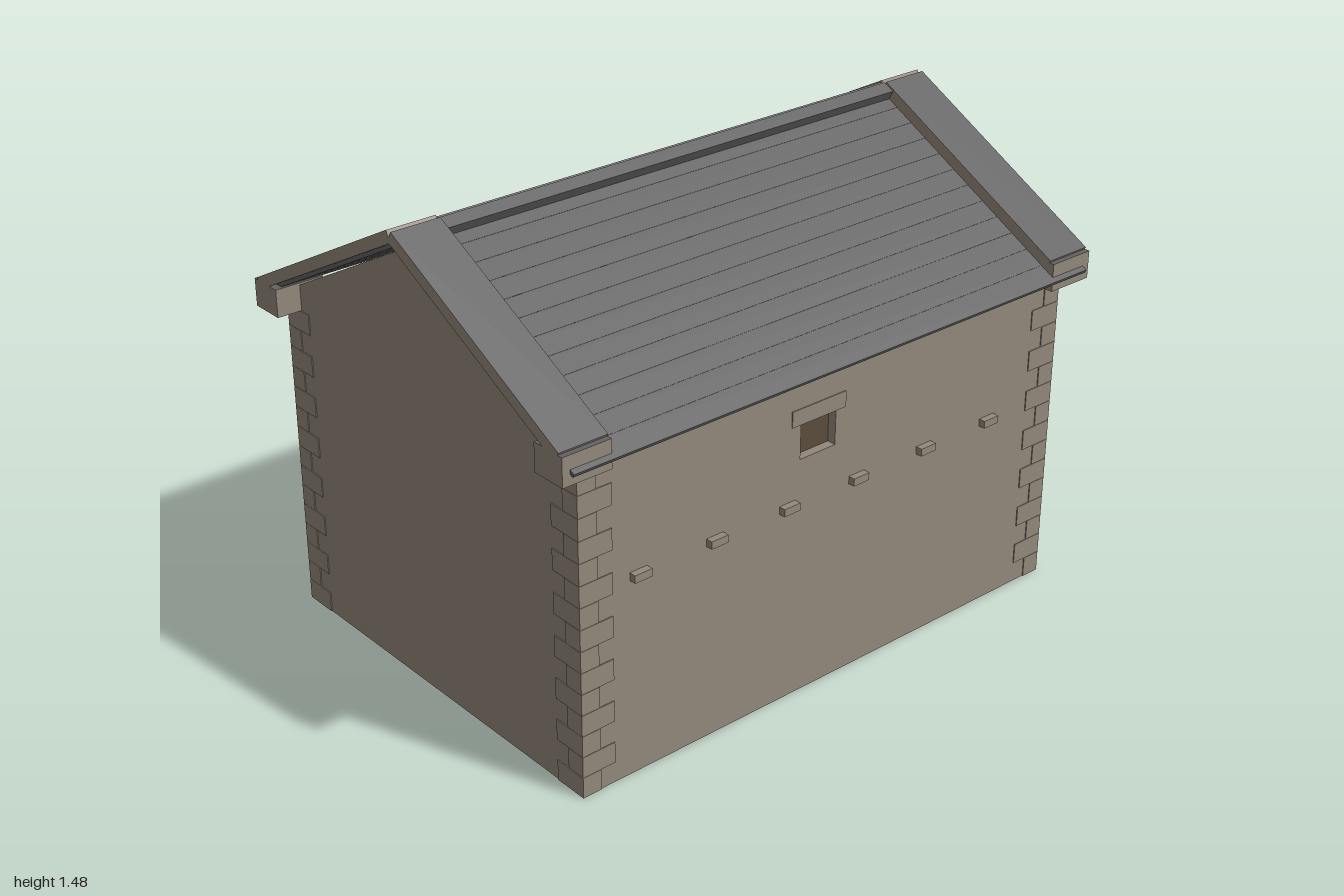
import * as THREE from 'three';

const mat = (name, color, extra = {}) => {
  const m = new THREE.MeshStandardMaterial({ color, ...extra });
  m.name = name;
  return m;
};

export function createModel() {
  const stone = mat('stone', 0x93897b, { side: THREE.DoubleSide });
  const slate = mat('slate', 0x646364);
  const wood = mat('wood', 0x5b4d3e);
  const slateTopped = [stone, stone, slate, stone, stone, stone];

  const barn = new THREE.Group();
  barn.name = 'stoneBarn';

  // Box given by its minimum and maximum on each axis
  const box = (parent, name, material, [x0, x1], [y0, y1], [z0, z1]) => {
    const m = new THREE.Mesh(new THREE.BoxGeometry(Math.abs(x1 - x0), y1 - y0, z1 - z0), material);
    m.position.set((x0 + x1) / 2, (y0 + y1) / 2, (z0 + z1) / 2);
    m.name = name;
    parent.add(m);
    return m;
  };

  const W = 0.68, D = 0.92, EAVE = 1.055, APEX = 1.415, RIDGE = 1.44;
  const angle = Math.atan(0.53);

  // Thin wall in its own frame: x along the wall, z = 0 outer face, +z outward
  const wall = (name, outline, openings, rotation, distance) => {
    const g = new THREE.Group();
    g.name = name;
    g.rotation.y = rotation;
    g.position.set(Math.sin(rotation) * distance, 0, Math.cos(rotation) * distance);
    const shape = new THREE.Shape(outline.map(p => new THREE.Vector2(...p)));
    for (const { x: [a, b], y: [c, d] } of openings) {
      shape.holes.push(new THREE.Path([[a, c], [a, d], [b, d], [b, c]].map(p => new THREE.Vector2(...p))));
    }
    const face = new THREE.Mesh(new THREE.ShapeGeometry(shape), stone);
    face.name = name + 'Face';
    g.add(face);
    openings.forEach(o => addOpening(g, o));
    barn.add(g);
    return g;
  };

  // Recessed opening: sill, jambs, lintel and planked infill
  const addOpening = (g, { x: [a, b], y: [c, d], depth, planks, lintel, rows }) => {
    const back = -depth - 0.02, t = 0.03;
    box(g, 'sill', stone, [a - t, b + t], [c - t, c], [back, -0.001]);
    const h = (d - c) / rows;
    for (let i = 0; i < rows; i++) {
      const w = rows === 1 ? t : i % 2 ? 0.07 : 0.035;
      const front = rows === 1 ? -0.001 : 0.003;
      const y = [c + i * h, c + (i + 1) * h - (rows === 1 ? 0 : 0.001)];
      box(g, 'jambStone', stone, [a - w, a], y, [back, front]);
      box(g, 'jambStone', stone, [b, b + w], y, [back, front]);
    }
    box(g, 'lintel', stone, [a - lintel[0], b + lintel[0]], [d, d + lintel[1]], [back, lintel[2]]);
    const pw = (b - a) / planks;
    for (let i = 0; i < planks; i++) {
      const step = i % 2 ? 0.004 : 0;
      box(g, 'plank', wood, [a + i * pw, a + (i + 1) * pw], [c, d], [back, -depth - step]);
    }
  };

  const gable = [[-W, 0], [W, 0], [W, EAVE], [0, APEX], [-W, EAVE]];
  const side = [[-D, 0], [D, 0], [D, EAVE], [-D, EAVE]];

  wall('frontGable', gable, [], 0, D);
  wall('backGable', gable,
    [{ x: [-0.07, 0.07], y: [1.0, 1.18], depth: 0.04, planks: 1, lintel: [0.06, 0.045, 0.003], rows: 3 }], Math.PI, D);
  const left = wall('leftWall', side,
    [{ x: [-0.135, 0], y: [0.77, 0.88], depth: 0.03, planks: 1, lintel: [0.035, 0.05, 0.003], rows: 1 }], Math.PI / 2, W);
  const doorMid = 0.066;
  const right = wall('rightWall', side, [
    { x: [doorMid - 0.29, doorMid + 0.29], y: [0.13, 0.77], depth: 0.07, planks: 6, lintel: [0.03, 0.03, -0.001], rows: 1 },
    { x: [-0.72, -0.52], y: [0.12, 0.55], depth: 0.04, planks: 2, lintel: [0.06, 0.04, 0.003], rows: 6 },
  ], -Math.PI / 2, W);

  // Row of small projecting stones on each long wall
  const bracket = (g, x) => box(g, 'projectingStone', stone, [x - 0.03, x + 0.03], [0.623, 0.647], [-0.04, 0.022]);
  [0.72, 0.45, 0.18, -0.09, -0.365, -0.635].forEach(z => bracket(left, -z));
  [-0.68, -0.41, 0.67].forEach(z => bracket(right, z));

  // Segmental arch above the large door
  for (let i = -5; i <= 5; i++) {
    const a = i * 0.137;
    const v = box(right, 'archStone', stone, [-0.033, 0.033], [-0.05, 0.05], [-0.09, 0.004]);
    v.position.x = doorMid + Math.sin(a) * 0.514;
    v.position.y = 0.406 + Math.cos(a) * 0.514;
    v.rotation.z = -a;
  }

  // Alternating corner stones
  const courses = 15, ch = 1.01 / courses;
  for (const sx of [-1, 1]) for (const sz of [-1, 1]) {
    for (let i = 0; i < courses; i++) {
      const [lx, lz] = i % 2 ? [0.06, 0.11] : [0.11, 0.06];
      const xs = [sx * (W + 0.003), sx * (W - lx)].sort((p, q) => p - q);
      const zs = [sz * (D + 0.003), sz * (D - lz)].sort((p, q) => p - q);
      box(barn, 'cornerStone', stone, xs, [i * ch, (i + 1) * ch - 0.001], zs);
    }
  }

  for (const s of [-1, 1]) {
    // Roof slope: x runs down the slope, y = 0 is the slate surface
    const slope = new THREE.Group();
    slope.name = s > 0 ? 'leftRoofSlope' : 'rightRoofSlope';
    slope.position.y = RIDGE;
    slope.rotation.z = -s * angle;
    barn.add(slope);
    const n = 12, len = 0.838 / n;
    for (let i = 0; i < n; i++) {
      const c = box(slope, 'slateCourse', slate, [s * i * len, s * (i + 1) * len], [-0.012, 0], [-0.975, 0.975]);
      c.rotation.z = s * 0.012;
    }
    box(slope, 'ridgeCap', slate, [-s * 0.012, s * 0.03], [0, 0.032], [-0.84, 0.84]);

    // Raised coping and kneeler stones at each gable
    for (const z of [[0.84, 1], [-1, -0.84]]) {
      box(slope, 'coping', slateTopped, [-s * 0.008, s * 0.785], [0, 0.037], z);
      box(barn, 'kneeler', slateTopped, [s * 0.61, s * 0.725], [1.01, 1.098], z);
    }
  }

  return barn;
}
